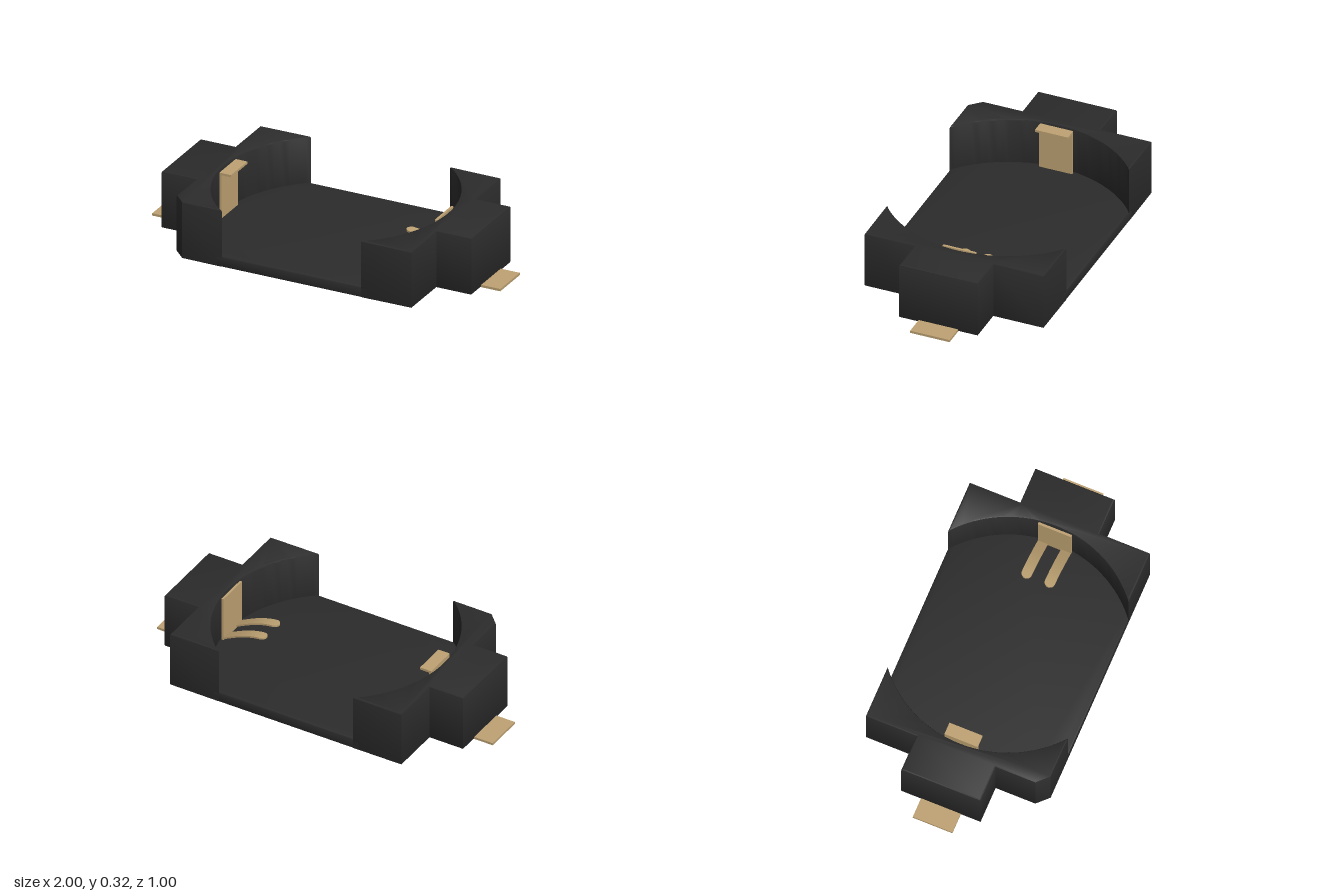
import * as THREE from 'three';
import { toCreasedNormals } from 'three/addons/utils/BufferGeometryUtils.js';

const plastic = new THREE.MeshStandardMaterial({ color: 0x2c2c2c });
const metal = new THREE.MeshStandardMaterial({ color: 0xbfa373 });
const HEIGHT = 0.32, FLOOR = 0.06, BEVEL = 0.008, RADIUS = 0.64, HALF = 0.5;

function addMesh(parent, name, geometry, material) {
  const mesh = new THREE.Mesh(geometry, material);
  mesh.name = name;
  parent.add(mesh);
  return mesh;
}

function addBox(parent, name, x0, x1, y0, y1, z0, z1) {
  const mesh = addMesh(parent, name, new THREE.BoxGeometry(x1 - x0, y1 - y0, z1 - z0), metal);
  mesh.position.set((x0 + x1) / 2, (y0 + y1) / 2, (z0 + z1) / 2);
}

// Upright slab from a plan of [x, z] points, with softened top and bottom edges
function slab(points, height) {
  const shape = new THREE.Shape(points.map(([x, z]) => new THREE.Vector2(x, -z)));
  const geometry = new THREE.ExtrudeGeometry(shape, {
    depth: height - 2 * BEVEL, bevelEnabled: true, bevelSegments: 2,
    bevelThickness: BEVEL, bevelSize: BEVEL, bevelOffset: -BEVEL,
  });
  geometry.translate(0, 0, BEVEL);
  geometry.rotateX(-Math.PI / 2);
  return toCreasedNormals(geometry, 0.5);
}

// Points on a circle between z = -HALF and z = +HALF, on the given side
function arc(side, radius, steps = 40) {
  const limit = Math.asin(HALF / radius);
  return Array.from({ length: steps + 1 }, (_, i) => {
    const a = -limit + (2 * limit * i) / steps;
    return [side * radius * Math.cos(a), radius * Math.sin(a)];
  });
}

// End wall: curved inside, stepped outside, optional cut front corner
function endWall(side, cutCorner) {
  const front = cutCorner ? [[side * 0.63, HALF], [side * 0.69, 0.44]] : [[side * 0.69, HALF]];
  const outside = [
    ...front, [side * 0.69, 0.22], [side * 0.89, 0.22],
    [side * 0.89, -0.22], [side * 0.69, -0.22], [side * 0.69, -HALF],
  ];
  return slab([...arc(side, RADIUS), ...outside], HEIGHT);
}

// Rising spring finger with a rounded tip
function fingerGeometry() {
  const length = 0.25, r = 0.0275;
  const geometry = new THREE.BoxGeometry(length, 0.01, 1, 32, 1, 1);
  const p = geometry.attributes.position;
  for (let i = 0; i < p.count; i++) {
    const fromTip = p.getX(i) + length / 2;
    const d = Math.max(0, r - fromTip);
    const halfWidth = Math.max(0.006, Math.sqrt(Math.max(0, r * r - d * d)));
    const t = 1 - fromTip / length;
    p.setZ(i, Math.sign(p.getZ(i)) * halfWidth);
    p.setXYZ(i, 0.375 + fromTip, p.getY(i) + 0.065 + 0.083 * Math.sin(t * Math.PI / 2), p.getZ(i));
  }
  return toCreasedNormals(geometry, 0.6);
}

export function createModel() {
  const group = new THREE.Group();
  group.name = 'coinCellHolder';

  // Plastic housing
  const housing = new THREE.Group();
  housing.name = 'housing';
  group.add(housing);
  addMesh(housing, 'floor', slab([...arc(1, 0.66), ...arc(-1, 0.66).reverse()], FLOOR), plastic);
  addMesh(housing, 'leftEndWall', endWall(1, false), plastic);
  addMesh(housing, 'rightEndWall', endWall(-1, true), plastic);

  // Solder tabs at both ends
  addBox(group, 'leftSolderTab', 0.87, 1, 0, 0.013, -0.11, 0.11);
  addBox(group, 'rightSolderTab', -1, -0.87, 0, 0.013, -0.11, 0.11);

  // Clip with an inward fold at the top
  const clip = new THREE.Group();
  clip.name = 'retainingClip';
  group.add(clip);
  addBox(clip, 'clipPlate', -0.623, -0.61, 0, 0.316, -0.092, 0.092);
  addBox(clip, 'clipFold', -0.623, -0.556, 0.303, 0.316, -0.092, 0.092);

  // Spring contact: upright plate with two fingers
  const contact = new THREE.Group();
  contact.name = 'springContact';
  group.add(contact);
  addBox(contact, 'contactPlate', 0.615, 0.628, 0, 0.316, -0.092, 0.092);
  const finger = fingerGeometry();
  for (const z of [-0.064, 0.064]) {
    addMesh(contact, 'springFinger', finger, metal).position.z = z;
  }
  return group;
}
